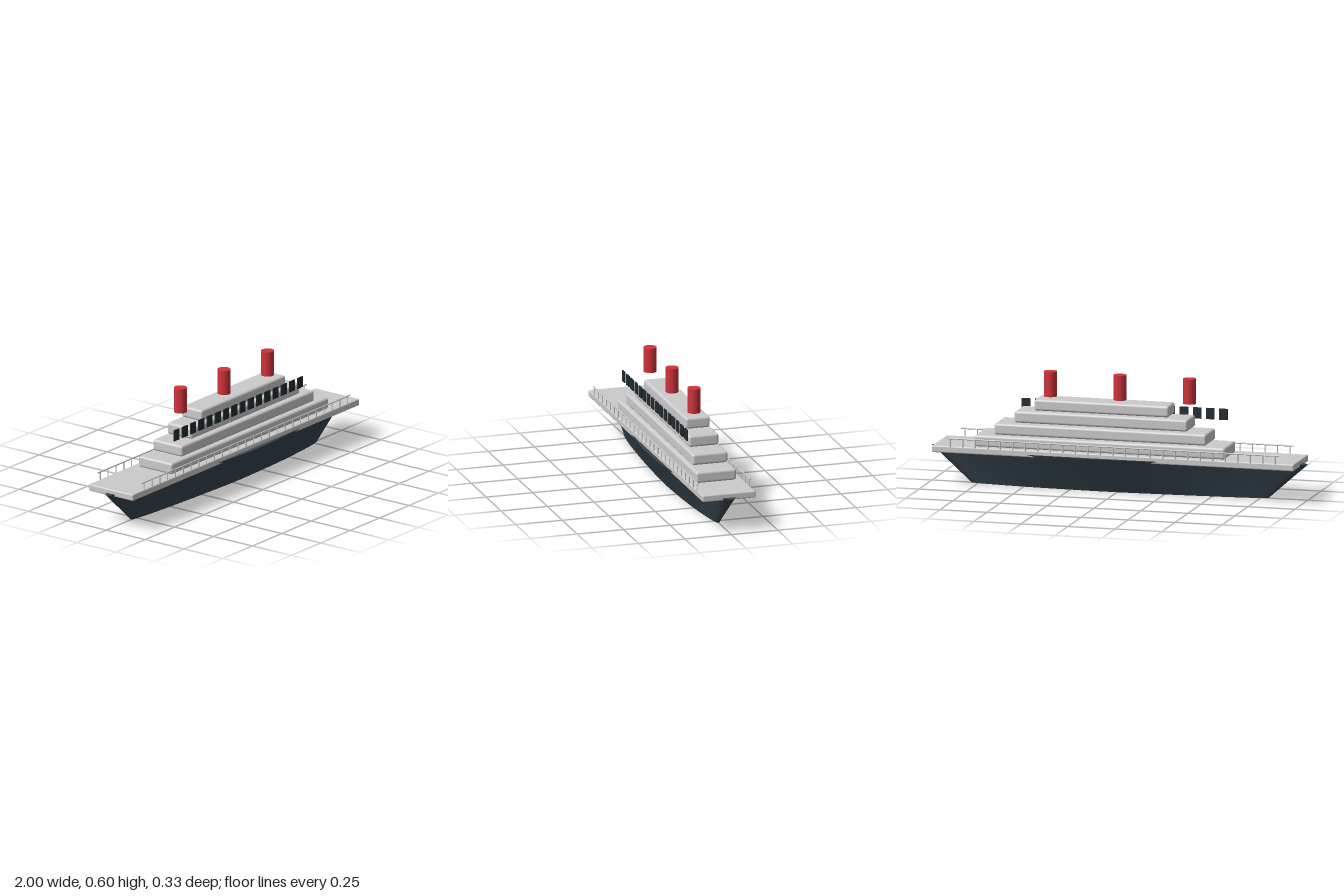
import * as THREE from 'three';
import { toCreasedNormals } from 'three/addons/utils/BufferGeometryUtils.js';
import { RoundedBoxGeometry } from 'three/addons/geometries/RoundedBoxGeometry.js';

const material = (color) => new THREE.MeshStandardMaterial({ color });

function add(parent, name, geometry, mat, x, y, z) {
  const mesh = new THREE.Mesh(geometry, mat);
  mesh.name = name;
  mesh.position.set(x, y, z);
  parent.add(mesh);
  return mesh;
}

// Deck-plan outline extruded upward, its keel level drawn in to a narrower, shorter outline
function hullGeometry(height) {
  const half = [
    [-1, 0], [-0.965, 0.026], [-0.8, 0.068], [-0.52, 0.112], [-0.26, 0.141], [0.08, 0.165],
    [0.48, 0.141], [0.7, 0.108], [0.88, 0.066], [0.965, 0.035], [1, 0],
  ].map(([x, z]) => new THREE.Vector2(x, z));
  const side = new THREE.SplineCurve(half).getPoints(60);
  const otherSide = side.slice(1, -1).reverse().map((p) => new THREE.Vector2(p.x, -p.y));
  const outline = new THREE.Shape([...side, ...otherSide]);

  const geometry = new THREE.ExtrudeGeometry(outline, { depth: height, bevelEnabled: false });
  geometry.rotateX(-Math.PI / 2);
  const pos = geometry.attributes.position;
  for (let i = 0; i < pos.count; i++) {
    const t = pos.getY(i) / height;
    pos.setX(i, pos.getX(i) * THREE.MathUtils.lerp(0.79, 1, t));
    pos.setZ(i, pos.getZ(i) * THREE.MathUtils.lerp(0.36, 1, t));
  }
  return toCreasedNormals(geometry, 0.6);
}

export function createModel() {
  const ship = new THREE.Group();
  ship.name = 'oceanLiner';
  const grey = material(0xcccccc);
  const hullPaint = material(0x36454f);
  const glass = material(0x222b30);
  const red = material(0xd0323a);

  add(ship, 'hull', hullGeometry(0.187), hullPaint, 0, 0, 0);

  // Main deck slab
  add(ship, 'mainDeck', new RoundedBoxGeometry(1.926, 0.036, 0.285, 3, 0.007), grey, 0, 0.192, 0);

  // Stepped superstructure: x from, x to, y from, y to, half width
  const tiers = [
    [-0.586, 0.748, 0.208, 0.268, 0.108],
    [-0.483, 0.645, 0.273, 0.332, 0.095],
    [-0.38, 0.541, 0.338, 0.399, 0.08],
    [-0.276, 0.439, 0.404, 0.463, 0.066],
  ];
  tiers.forEach(([x0, x1, y0, y1, w], i) => {
    const box = new RoundedBoxGeometry(x1 - x0, y1 - y0, w * 2, 4, 0.013);
    add(ship, `cabinTier${i + 1}`, box, grey, (x0 + x1) / 2, (y0 + y1) / 2, 0);
  });

  // Funnels
  const funnel = new THREE.CylinderGeometry(0.034, 0.034, 0.13, 32);
  [-0.37, 0, 0.37].forEach((x, i) => add(ship, `funnel${i + 1}`, funnel, red, x, 0.537, 0));

  // Row of windows along the front side
  const windows = new THREE.Group();
  windows.name = 'windows';
  ship.add(windows);
  const pane = new THREE.BoxGeometry(0.045, 0.058, 0.006);
  for (let i = 0; i < 16; i++) {
    add(windows, 'window', pane, glass, -0.525 + i * 0.07, 0.406, 0.092);
  }

  // Railings on both sides
  const post = new THREE.CylinderGeometry(0.003, 0.003, 0.05, 8);
  const rail = new THREE.CylinderGeometry(0.0037, 0.0037, 1.77, 10).rotateZ(Math.PI / 2);
  for (const s of [1, -1]) {
    const railing = new THREE.Group();
    railing.name = s > 0 ? 'frontRailing' : 'backRailing';
    ship.add(railing);
    add(railing, 'handrail', rail, grey, 0, 0.25, s * 0.1405);
    for (let i = 0; i < 27; i++) {
      add(railing, 'railPost', post, grey, -0.865 + i * 0.0665, 0.226, s * 0.1405);
    }
  }

  return ship;
}
